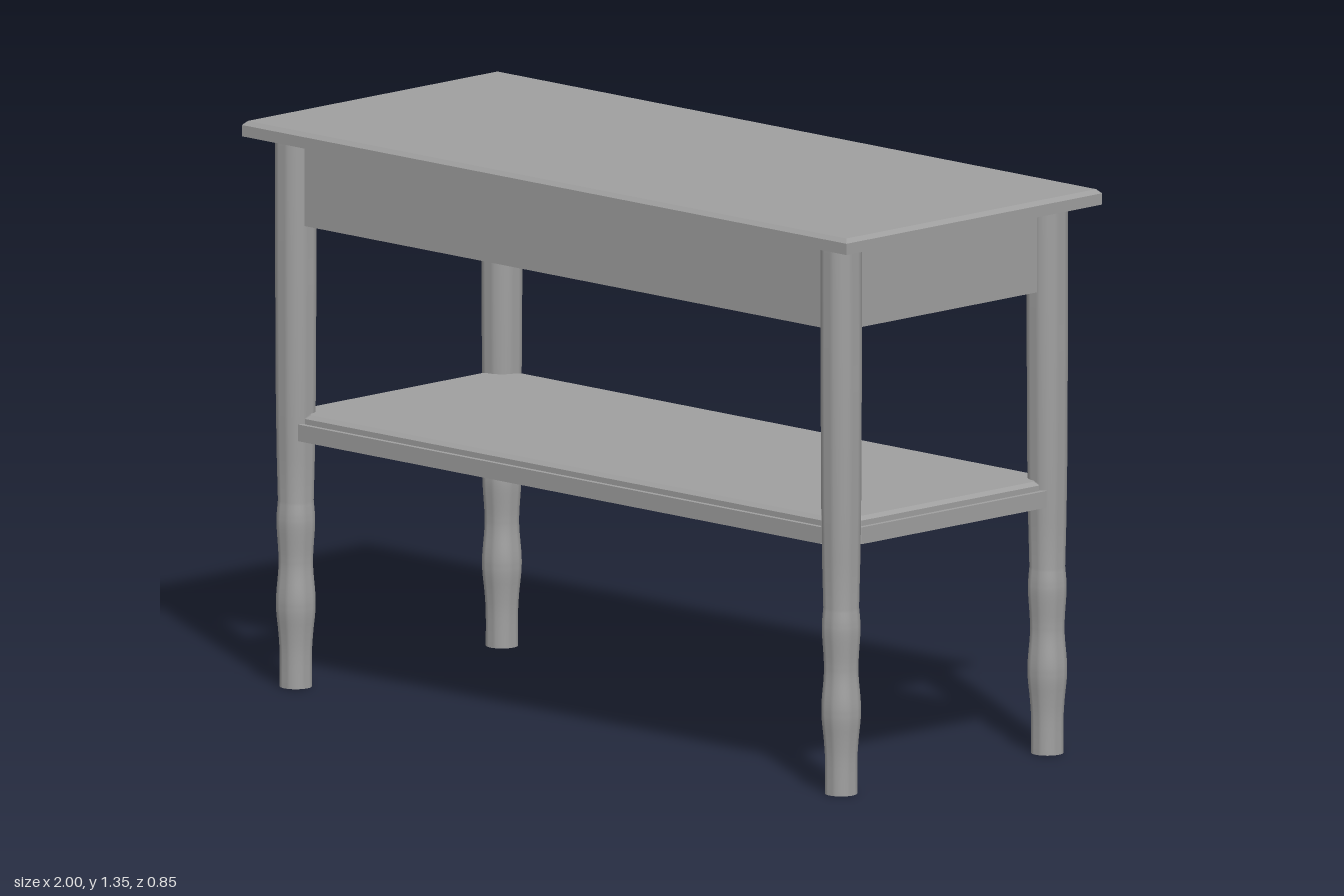
import * as THREE from 'three';
import { toCreasedNormals } from 'three/addons/utils/BufferGeometryUtils.js';

const material = new THREE.MeshStandardMaterial({ color: 0x9f9f9f });

// Rectangle of half sizes hx, hz whose corners are cut between (cx, hz) and (hx, cz)
function outline(hx, hz, cx, cz) {
  const half = [[hx, -cz], [hx, cz], [cx, hz], [-cx, hz]];
  const points = [...half, ...half.map(([x, z]) => [-x, -z])];
  return points.map(([x, z]) => new THREE.Vector2(x, z));
}

// Upright prism from y0 to y1; inset narrows its upper end into a chamfer
function prism(name, [hx, hz, cx, cz], y0, y1, inset = 0, hole = null) {
  const shape = new THREE.Shape(outline(hx, hz, cx, cz));
  if (hole) shape.holes.push(new THREE.Path(outline(...hole).reverse()));
  const geometry = new THREE.ExtrudeGeometry(shape, { depth: y1 - y0, bevelEnabled: false });
  geometry.rotateX(-Math.PI / 2).translate(0, y0, 0);
  if (inset) {
    const p = geometry.attributes.position;
    for (let i = 0; i < p.count; i++) {
      if (p.getY(i) < (y0 + y1) / 2) continue;
      p.setX(i, p.getX(i) * (1 - inset / hx));
      p.setZ(i, p.getZ(i) * (1 - inset / hz));
    }
    geometry.computeVertexNormals();
  }
  const mesh = new THREE.Mesh(geometry, material);
  mesh.name = name;
  return mesh;
}

// Turned leg: smooth swells near the foot, then a nearly straight post
function legGeometry() {
  const swell = new THREE.SplineCurve([
    [0.038, 0], [0.038, 0.08], [0.041, 0.13], [0.046, 0.18], [0.046, 0.22],
    [0.041, 0.28], [0.041, 0.32], [0.045, 0.38], [0.045, 0.41], [0.042, 0.445],
  ].map(([r, y]) => new THREE.Vector2(r, y)));
  const profile = [
    new THREE.Vector2(0, 0),
    ...swell.getPoints(36),
    new THREE.Vector2(0.045, 0.56),
    new THREE.Vector2(0.047, 0.7),
    new THREE.Vector2(0.0485, 1.0),
    new THREE.Vector2(0.0485, 1.313),
    new THREE.Vector2(0, 1.313),
  ];
  return toCreasedNormals(new THREE.LatheGeometry(profile, 32), 0.6);
}

export function createModel() {
  const model = new THREE.Group();
  model.name = 'consoleTable';

  // Table top with a chamfered upper edge
  const top = new THREE.Group();
  top.name = 'tableTop';
  top.add(
    prism('topSlab', [1, 0.424, 1, 0.424], 1.313, 1.34),
    prism('topChamfer', [1, 0.424, 1, 0.424], 1.34, 1.35, 0.01),
  );
  model.add(top);

  // Everything under the top sits slightly right and back of its centre
  const base = new THREE.Group();
  base.name = 'base';
  base.position.set(-0.005, 0, -0.0035);
  model.add(base);

  // Closed apron box between the legs
  base.add(prism('apron', [0.917, 0.361, 0.854, 0.292], 1.109, 1.313));

  // Shelf: rim open below, with a stepped board on top
  const shelf = new THREE.Group();
  shelf.name = 'shelf';
  shelf.add(
    prism('shelfRim', [0.935, 0.372, 0.865, 0.306], 0.595, 0.635, 0, [0.915, 0.35, 0.85, 0.29]),
    prism('shelfBoard', [0.923, 0.36, 0.853, 0.294], 0.634, 0.648),
    prism('shelfChamfer', [0.923, 0.36, 0.853, 0.294], 0.648, 0.657, 0.01),
  );
  base.add(shelf);

  // Four legs
  const geometry = legGeometry();
  for (const [sx, side] of [[1, 'Left'], [-1, 'Right']]) {
    for (const [sz, end] of [[1, 'front'], [-1, 'back']]) {
      const leg = new THREE.Mesh(geometry, material);
      leg.name = `${end}${side}Leg`;
      leg.position.set(sx * 0.902, 0, sz * 0.342);
      base.add(leg);
    }
  }
  return model;
}
